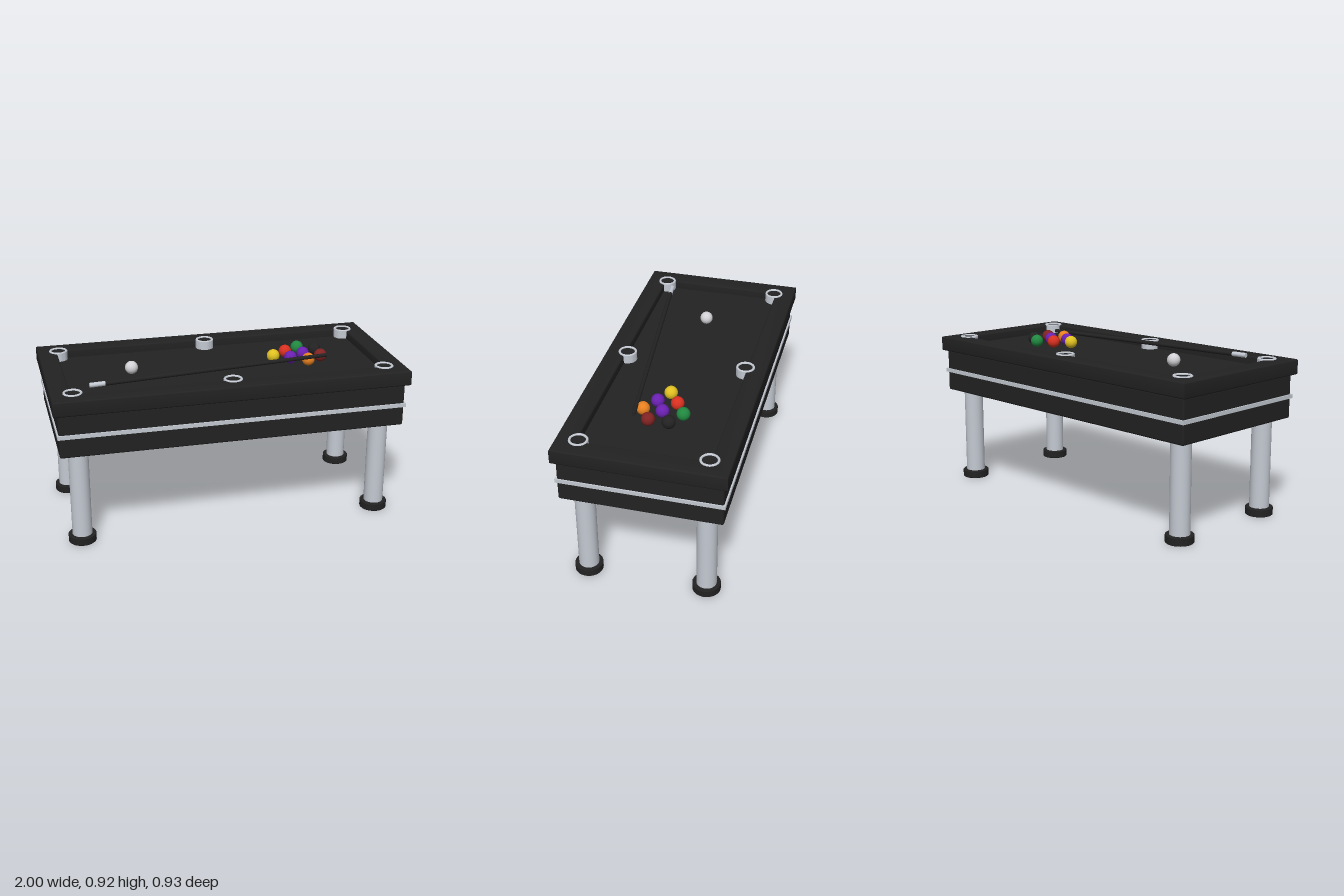
import * as THREE from 'three';
import { toCreasedNormals } from 'three/addons/utils/BufferGeometryUtils.js';
import { RoundedBoxGeometry } from 'three/addons/geometries/RoundedBoxGeometry.js';

const material = (name, color) => {
  const m = new THREE.MeshStandardMaterial({ color });
  m.name = name;
  return m;
};

function rectangle(target, hx, hz) {
  target.moveTo(-hx, -hz);
  target.lineTo(hx, -hz);
  target.lineTo(hx, hz);
  target.lineTo(-hx, hz);
  target.closePath();
  return target;
}

export function createModel() {
  const black = material('black', 0x222222);
  const chrome = material('chrome', 0xc4c9d2);
  const white = material('white', 0xd2d2d6);
  const yellow = material('yellow', 0xe0c020);
  const red = material('red', 0xd83020);
  const purple = material('purple', 0x6a20b0);
  const green = material('green', 0x208840);
  const orange = material('orange', 0xe88020);
  const maroon = material('maroon', 0x802222);

  const model = new THREE.Group();
  model.name = 'poolTable';
  const add = (name, geometry, mat, x = 0, y = 0, z = 0, parent = model) => {
    const mesh = new THREE.Mesh(geometry, mat);
    mesh.name = name;
    mesh.position.set(x, y, z);
    parent.add(mesh);
    return mesh;
  };

  // Cabinet with a metal band around it
  add('cabinet', new RoundedBoxGeometry(1.95, 0.246, 0.886, 3, 0.01), black, 0, 0.68, 0);
  add('trimBand', new THREE.BoxGeometry(1.966, 0.022, 0.904), chrome, 0, 0.68, 0);

  // Rail frame with softened edges, open over the playing bed
  const bevel = 0.008;
  const frame = rectangle(new THREE.Shape(), 1 - bevel, 0.465 - bevel);
  frame.holes.push(rectangle(new THREE.Path(), 0.89 + bevel, 0.355 + bevel));
  const rail = new THREE.ExtrudeGeometry(frame, {
    depth: 0.086 - 2 * bevel, bevelEnabled: true,
    bevelSize: bevel, bevelThickness: bevel, bevelSegments: 3,
  });
  rail.rotateX(-Math.PI / 2);
  add('railFrame', toCreasedNormals(rail, 0.7), black, 0, 0.802 + bevel, 0);
  add('playingBed', new THREE.BoxGeometry(1.82, 0.045, 0.75), black, 0, 0.8185, 0);

  // Pockets: chrome cups with a dark well
  const cup = toCreasedNormals(new THREE.LatheGeometry([
    [0.053, 0.835], [0.053, 0.891], [0.050, 0.895], [0.043, 0.895], [0.040, 0.891], [0.040, 0.884],
  ].map(([r, y]) => new THREE.Vector2(r, y)), 32), 0.6);
  const well = new THREE.CylinderGeometry(0.041, 0.041, 0.045, 32);
  for (const x of [-0.88, 0, 0.88]) {
    for (const z of [-0.345, 0.345]) {
      const pocket = new THREE.Group();
      pocket.name = 'pocket';
      pocket.position.set(x, 0, z);
      model.add(pocket);
      add('pocketRing', cup, chrome, 0, 0, 0, pocket);
      add('pocketWell', well, black, 0, 0.8645, 0, pocket);
    }
  }

  // Round legs on wider feet
  const legGeometry = new THREE.CylinderGeometry(0.056, 0.056, 0.525, 32);
  const footGeometry = toCreasedNormals(new THREE.LatheGeometry([
    [0, 0], [0.075, 0], [0.078, 0.003], [0.078, 0.042], [0.075, 0.045], [0, 0.045],
  ].map(([r, y]) => new THREE.Vector2(r, y)), 32), 0.6);
  for (const x of [-0.867, 0.867]) {
    for (const z of [-0.335, 0.335]) {
      add('leg', legGeometry, chrome, x, 0.3025, z);
      add('foot', footGeometry, black, x, 0, z);
    }
  }

  // Balls: the cue ball and the racked group
  const ballGeometry = new THREE.SphereGeometry(0.037, 32, 20);
  const balls = [
    ['cueBall', white, -0.505, 0],
    ['yellowBall', yellow, 0.33, 0],
    ['redBall', red, 0.42, -0.06],
    ['purpleBall', purple, 0.42, 0.05],
    ['greenBall', green, 0.51, -0.115],
    ['purpleBall', purple, 0.51, 0],
    ['orangeBall', orange, 0.51, 0.107],
    ['blackBall', black, 0.60, -0.058],
    ['maroonBall', maroon, 0.60, 0.055],
  ];
  for (const [name, mat, x, z] of balls) add(name, ballGeometry, mat, x, 0.878, z);

  // Cue lying diagonally, with a light sleeve at its end
  const butt = new THREE.Vector3(-0.78, 0.902, 0.287);
  const tip = new THREE.Vector3(0.61, 0.902, 0.13);
  const direction = tip.clone().sub(butt);
  const length = direction.length();
  const cue = new THREE.Group();
  cue.name = 'cue';
  cue.position.copy(butt);
  cue.quaternion.setFromUnitVectors(new THREE.Vector3(0, 1, 0), direction.normalize());
  model.add(cue);
  add('cueShaft', new THREE.CylinderGeometry(0.011, 0.013, length - 0.085, 16), black,
    0, (length + 0.085) / 2, 0, cue);
  add('cueSleeve', new THREE.CylinderGeometry(0.0135, 0.0135, 0.085, 16), chrome, 0, 0.0425, 0, cue);

  return model;
}
